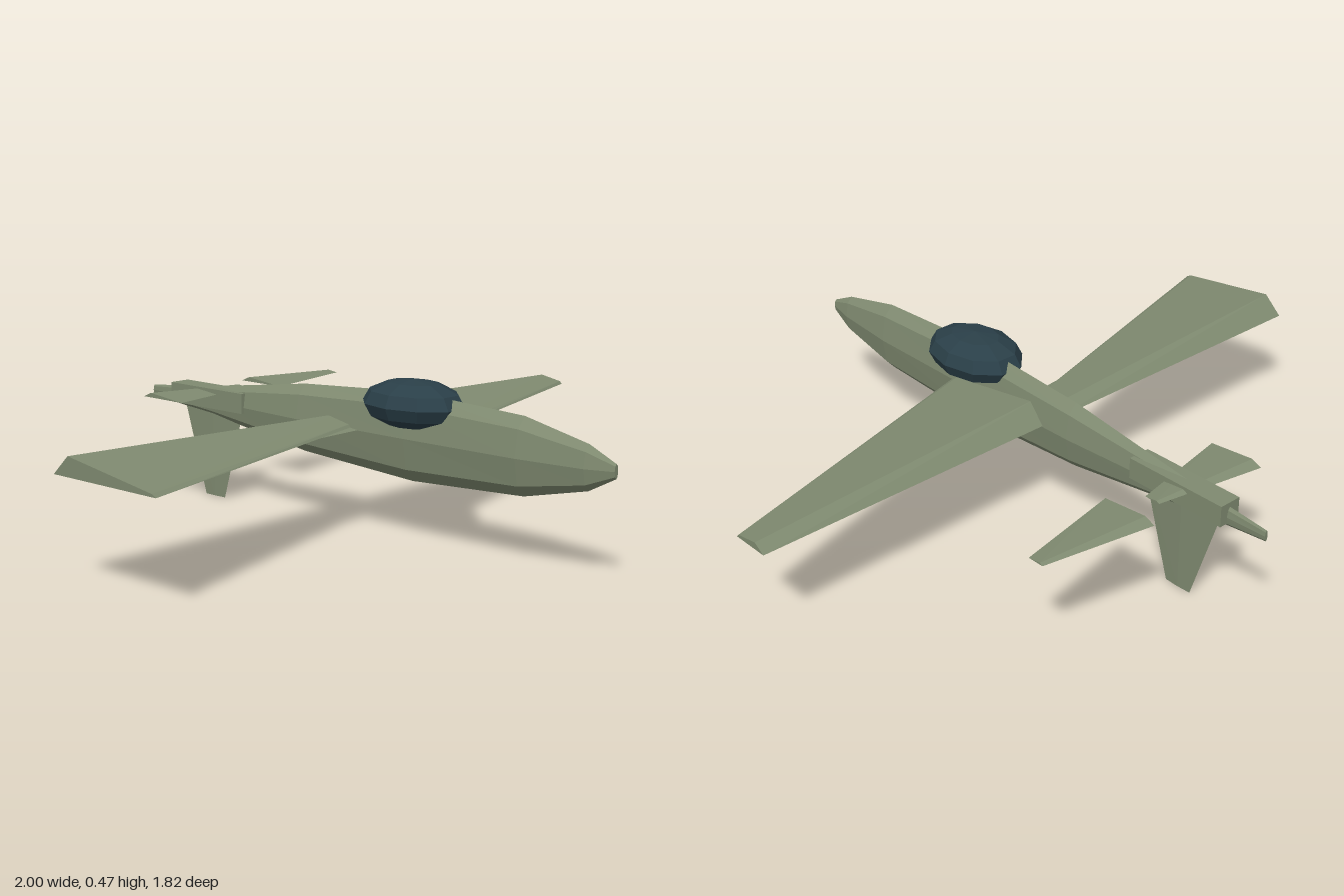
import * as THREE from 'three';

const paint = new THREE.MeshStandardMaterial({ color: 0x7f8a70, flatShading: true });
const glass = new THREE.MeshStandardMaterial({ color: 0x2a3f48, flatShading: true });

// Skin a row of matching closed sections ([x, y, z] points) and cap both ends
function loft(sections) {
  const n = sections[0].length;
  const tris = [];
  for (let s = 0; s < sections.length - 1; s++) {
    const a = sections[s], b = sections[s + 1];
    for (let i = 0; i < n; i++) {
      const j = (i + 1) % n;
      tris.push([a[i], b[i], b[j]], [a[i], b[j], a[j]]);
    }
  }
  const first = sections[0], last = sections[sections.length - 1];
  for (let i = 1; i < n - 1; i++) {
    tris.push([first[0], first[i], first[i + 1]], [last[0], last[i + 1], last[i]]);
  }
  // Turn the faces outward when the signed volume is negative
  const [p, q, r] = [0, 1, 2].map(() => new THREE.Vector3());
  const origin = new THREE.Vector3(...first[0]);
  let volume = 0;
  for (const t of tris) {
    [p, q, r].forEach((v, k) => v.set(...t[k]).sub(origin));
    volume += p.dot(q.cross(r));
  }
  if (volume < 0) tris.forEach((t) => t.reverse());
  const geometry = new THREE.BufferGeometry();
  geometry.setAttribute('position', new THREE.Float32BufferAttribute(tris.flat(2), 3));
  geometry.computeVertexNormals();
  return geometry;
}

export function createModel() {
  const model = new THREE.Group();
  const add = (name, geometry, material = paint) => {
    const mesh = new THREE.Mesh(geometry, material);
    mesh.name = name;
    model.add(mesh);
    return mesh;
  };

  // Fuselage: narrow eight-sided rings, [z, bottom, top, half width]
  const rings = [
    [0.91, 0.29, 0.33, 0.008], [0.825, 0.245, 0.37, 0.025], [0.615, 0.197, 0.417, 0.043],
    [0.22, 0.178, 0.436, 0.046], [-0.21, 0.204, 0.41, 0.04], [-0.62, 0.263, 0.355, 0.017],
    [-0.91, 0.293, 0.327, 0.005],
  ];
  add('fuselage', loft(rings.map(([z, low, high, w]) =>
    Array.from({ length: 8 }, (_, i) => {
      const a = (i / 8) * Math.PI * 2;
      return [Math.sin(a) * w, (low + high) / 2 + Math.cos(a) * (high - low) / 2, z];
    }))));

  // Canopy: faceted ellipsoid
  const canopy = add('canopy', new THREE.SphereGeometry(1, 10, 6), glass);
  canopy.scale.set(0.12, 0.071, 0.168);
  canopy.position.set(0, 0.402, 0.22);

  // Wings: both panels taper toward +x, with a ridge near the trailing edge
  for (const [name, x] of [['rightWing', -1], ['leftWing', 0]]) {
    add(name, loft([
      [[x, 0.312, 0.285], [x, 0.32, 0.27], [x, 0.365, -0.055], [x, 0.31, -0.115]],
      [[x + 1, 0.312, 0.003], [x + 1, 0.32, -0.005], [x + 1, 0.334, -0.08], [x + 1, 0.312, -0.115]],
    ]));
  }

  // Small plate under the root of the right wing
  add('wingRootPlate', loft([
    [[-0.38, 0.312, 0.07], [-0.38, 0.316, 0], [-0.38, 0.31, 0]],
    [[0, 0.308, 0.042], [0, 0.32, -0.08], [0, 0.303, -0.08]],
  ]));

  // Tail block
  const block = add('tailBlock', new THREE.BoxGeometry(0.07, 0.063, 0.33));
  block.position.set(0, 0.322, -0.62);

  // Tailplanes: two matching tapered panels
  for (const [name, x] of [['rightTailplane', -0.208], ['leftTailplane', 0.208]]) {
    add(name, loft([
      [[x, 0.338, -0.535], [x, 0.352, -0.68], [x, 0.338, -0.712]],
      [[x + 0.333, 0.338, -0.6], [x + 0.333, 0.343, -0.64], [x + 0.333, 0.338, -0.65]],
    ]));
  }

  // Tail fin hanging below the fuselage
  const finSection = (y, front, back, w) => [
    [0, y, front], [w, y, (front + back) / 2], [0, y, back], [-w, y, (front + back) / 2],
  ];
  add('tailFin', loft([
    finSection(0.31, -0.48, -0.762, 0.005), finSection(0, -0.576, -0.664, 0.002),
  ]));

  return model;
}
